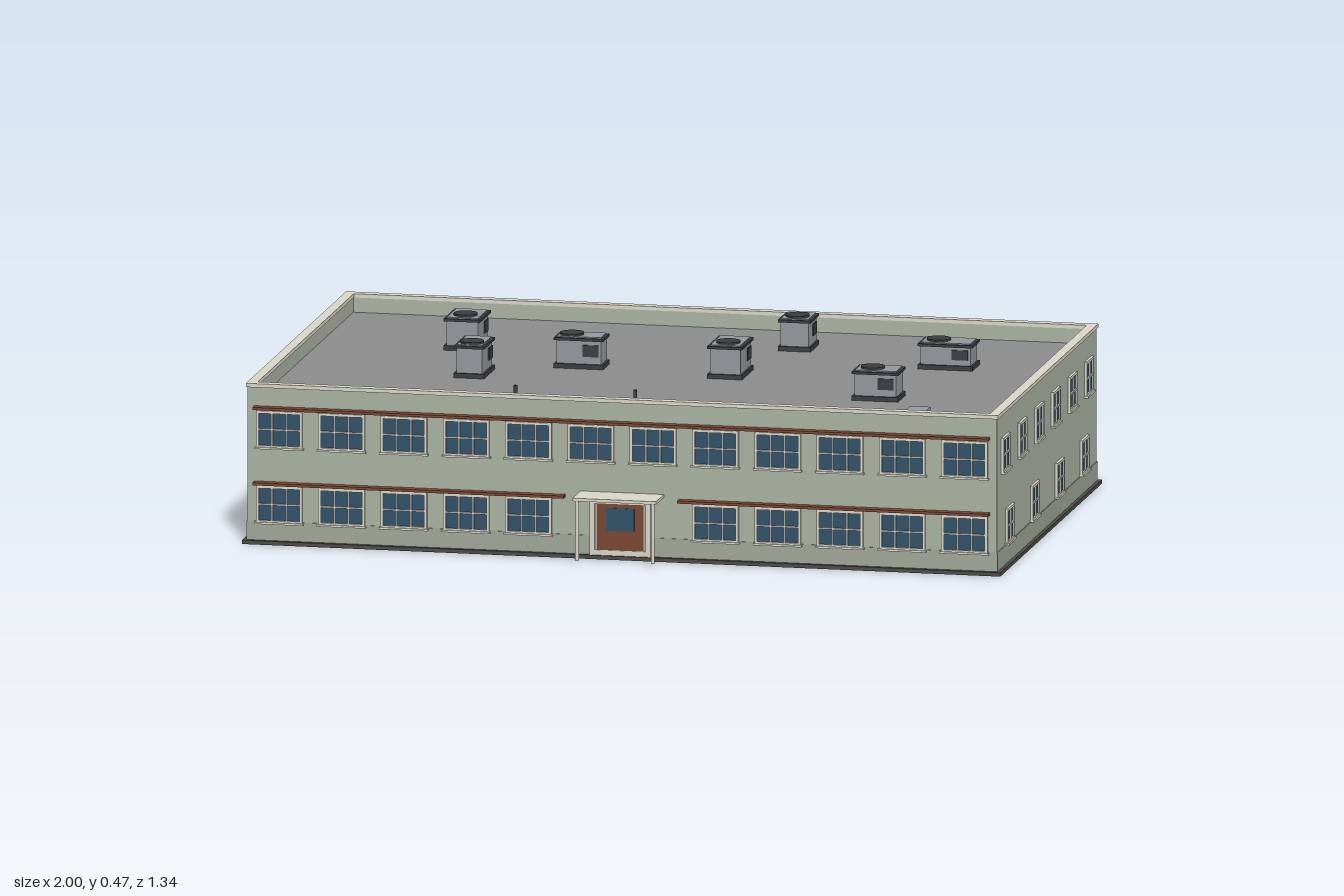
import * as THREE from 'three';

const mat = (color) => new THREE.MeshStandardMaterial({ color });
const M = {
  wall: mat(0xa9b2a2), plinth: mat(0x9fa697), cream: mat(0xd8d5c8), roof: mat(0x8a8b8a),
  base: mat(0x4d4a46), glass: mat(0x2f5068), brown: mat(0x7a4630), metal: mat(0x93989c),
  dark: mat(0x3a3d40), shutter: mat(0x9ba09d),
};

// Building footprint
const HX = 0.988, ZF = 0.574, ZB = -0.638, ZC = (ZF + ZB) / 2, HZ = (ZF - ZB) / 2;
const ROOF = 0.372;

function add(parent, name, geo, material, x = 0, y = 0, z = 0) {
  const m = new THREE.Mesh(geo, material);
  m.name = name;
  m.position.set(x, y, z);
  parent.add(m);
  return m;
}
const box = (parent, name, material, w, h, d, x, y, z) =>
  add(parent, name, new THREE.BoxGeometry(w, h, d), material, x, y, z);

function rect(PathType, x, y, w, h) {
  const p = new PathType();
  p.moveTo(x, y);
  p.lineTo(x + w, y);
  p.lineTo(x + w, y + h);
  p.lineTo(x, y + h);
  p.closePath();
  return p;
}

// Rectangular ring lying flat, standing from y = 0 to y = height
function ringGeometry(hx, hz, t, height) {
  const s = rect(THREE.Shape, -hx, -hz, 2 * hx, 2 * hz);
  s.holes.push(rect(THREE.Path, -hx + t, -hz + t, 2 * (hx - t), 2 * (hz - t)));
  return new THREE.ExtrudeGeometry(s, { depth: height, bevelEnabled: false }).rotateX(-Math.PI / 2);
}

// Window frame with a grid of openings, centred on the origin, facing +z
function frameGeometry(w, h, cols, rows, border, bar) {
  const s = rect(THREE.Shape, -w / 2, -h / 2, w, h);
  const pw = (w - 2 * border - (cols - 1) * bar) / cols;
  const ph = (h - 2 * border - (rows - 1) * bar) / rows;
  for (let i = 0; i < cols; i++) {
    for (let j = 0; j < rows; j++) {
      s.holes.push(rect(THREE.Path, -w / 2 + border + i * (pw + bar), -h / 2 + border + j * (ph + bar), pw, ph));
    }
  }
  return new THREE.ExtrudeGeometry(s, { depth: 0.007, bevelEnabled: false });
}

function windowMaker(w, h, cols, rows) {
  const frame = frameGeometry(w, h, cols, rows, 0.007, 0.004);
  const glass = new THREE.BoxGeometry(w - 0.004, h - 0.004, 0.004);
  const sill = new THREE.BoxGeometry(w + 0.006, 0.005, 0.012);
  return (parent, name, x, y, z, turn) => {
    const g = new THREE.Group();
    g.name = name;
    add(g, 'windowFrame', frame, M.cream);
    add(g, 'windowGlass', glass, M.glass, 0, 0, 0.001);
    add(g, 'windowSill', sill, M.cream, 0, -h / 2, 0.005);
    g.position.set(x, y, z);
    g.rotation.y = turn;
    parent.add(g);
  };
}

// Rooftop air handler: fan at the -x end, grille on the +z side
function airUnit(parent, x, z, len, wid, top, turned) {
  const g = new THREE.Group();
  g.name = 'rooftopAirUnit';
  const h = top - ROOF;
  box(g, 'unitSkid', M.dark, len, 0.012, wid, 0, 0.006, 0);
  box(g, 'unitBody', M.metal, len - 0.012, h - 0.012, wid - 0.012, 0, h / 2, 0);
  add(g, 'unitTopRim', ringGeometry(len / 2, wid / 2, 0.008, 0.007), M.dark, 0, h - 0.012, 0);
  box(g, 'unitLid', M.metal, len - 0.014, 0.008, wid - 0.014, 0, h - 0.006, 0);
  const fx = -len / 2 + wid / 2;
  add(g, 'unitFan', new THREE.CylinderGeometry(0.031, 0.031, 0.006, 24), M.dark, fx, h, 0);
  box(g, 'unitGrille', M.dark, 0.042, h * 0.36, 0.004, len / 2 - 0.034, h * 0.55, wid / 2 - 0.005);
  g.position.set(x, ROOF, z);
  if (turned) g.rotation.y = Math.PI / 2;
  parent.add(g);
}

export function createModel() {
  const model = new THREE.Group();
  model.name = 'officeBuilding';

  // Shell: slab, walls with parapet, coping and roof
  box(model, 'foundation', M.base, 2, 0.01, 1.238, 0, 0.005, -0.031);
  add(model, 'walls', ringGeometry(HX, HZ, 0.02, 0.402), M.wall, 0, 0.01, ZC);
  add(model, 'plinth', ringGeometry(HX + 0.002, HZ + 0.002, 0.02, 0.05), M.plinth, 0, 0.01, ZC);
  add(model, 'parapetCoping', ringGeometry(HX + 0.004, HZ + 0.004, 0.026, 0.01), M.cream, 0, 0.411, ZC);
  box(model, 'roof', M.roof, 2 * HX - 0.03, 0.012, 2 * HZ - 0.03, 0, ROOF - 0.006, ZC);

  // Front windows: twelve bays, the middle two left open below for the entrance
  const wide = windowMaker(0.122, 0.098, 3, 2);
  for (let i = 0; i < 12; i++) {
    const x = (i - 5.5) * 0.1643;
    wide(model, 'frontUpperWindow', x, 0.302, ZF, 0);
    if (i !== 5 && i !== 6) wide(model, 'frontLowerWindow', x, 0.105, ZF, 0);
  }

  // Sunshades over the front windows
  box(model, 'upperSunshade', M.brown, 1.94, 0.007, 0.024, 0, 0.359, ZF + 0.012);
  for (const s of [-1, 1]) {
    box(model, 'lowerSunshade', M.brown, 0.82, 0.007, 0.024, s * 0.56, 0.161, ZF + 0.012);
  }

  // Side windows: six above, four below, mirrored
  const small = windowMaker(0.087, 0.092, 2, 2);
  for (const s of [-1, 1]) {
    const turn = s * Math.PI / 2;
    for (let i = 0; i < 6; i++) small(model, 'sideUpperWindow', s * HX, 0.304, 0.477 - i * 0.2022, turn);
    for (let i = 0; i < 4; i++) small(model, 'sideLowerWindow', s * HX, 0.108, 0.426 - i * 0.302, turn);
  }

  // Back windows
  for (let i = -4; i <= 4; i++) {
    small(model, 'backUpperWindow', i * 0.222, 0.304, ZB, Math.PI);
    if (Math.abs(i) < 4) small(model, 'backLowerWindow', i * 0.222, 0.108, ZB, Math.PI);
  }

  // Entrance: door, surround and canopy on posts
  const entrance = new THREE.Group();
  entrance.name = 'entrance';
  add(entrance, 'doorSurround', frameGeometry(0.162, 0.15, 1, 1, 0.014, 0), M.cream, -0.004, 0.085, ZF + 0.002);
  box(entrance, 'doorPanel', M.wall, 0.15, 0.14, 0.006, -0.004, 0.08, ZF + 0.001);
  box(entrance, 'frontDoor', M.brown, 0.122, 0.137, 0.01, -0.004, 0.079, ZF + 0.002);
  box(entrance, 'doorGlass', M.glass, 0.075, 0.06, 0.004, -0.004, 0.105, ZF + 0.007);
  box(entrance, 'canopy', M.cream, 0.22, 0.008, 0.097, 0, 0.171, 0.6215);
  for (const s of [-1, 1]) {
    add(entrance, 'canopyPost', new THREE.CylinderGeometry(0.005, 0.005, 0.157, 12), M.cream, s * 0.1, 0.0885, 0.663);
  }
  model.add(entrance);

  // Back service door, roller shutter and utility box
  box(model, 'backDoor', M.brown, 0.064, 0.128, 0.01, -0.918, 0.074, ZB - 0.003);
  box(model, 'backDoorLintel', M.cream, 0.074, 0.006, 0.014, -0.918, 0.141, ZB - 0.004);
  const shutter = new THREE.Group();
  shutter.name = 'rollerShutter';
  box(shutter, 'shutterPanel', M.shutter, 0.17, 0.145, 0.008, -0.79, 0.0825, ZB - 0.006);
  for (let i = 0; i < 10; i++) {
    box(shutter, 'shutterSlat', M.metal, 0.17, 0.004, 0.004, -0.79, 0.018 + i * 0.0145, ZB - 0.01);
  }
  model.add(shutter);
  box(model, 'utilityBox', M.metal, 0.052, 0.044, 0.032, 0.293, 0.038, -0.654);

  // Downpipes at the back corners
  for (const s of [-1, 1]) {
    add(model, 'downpipe', new THREE.CylinderGeometry(0.007, 0.007, 0.4, 12), M.metal, s * 0.972, 0.21, ZB - 0.004);
  }

  // Roof equipment: x, z, length, width, top, turned
  const units = [
    [-0.588, -0.252, 0.133, 0.096, 0.46, true],
    [-0.495, 0.091, 0.134, 0.08, 0.461, true],
    [-0.245, -0.062, 0.13, 0.08, 0.457, false],
    [0.152, -0.04, 0.14, 0.092, 0.462, true],
    [0.251, -0.412, 0.105, 0.086, 0.459, true],
    [0.682, -0.252, 0.144, 0.092, 0.444, false],
    [0.591, 0.181, 0.122, 0.092, 0.453, false],
  ];
  units.forEach((u) => airUnit(model, ...u));
  box(model, 'roofHatch', M.metal, 0.053, 0.022, 0.053, 0.743, ROOF + 0.011, 0.399);
  for (const [x, z] of [[-0.315, 0.42], [0, 0.415]]) {
    add(model, 'ventPipe', new THREE.CylinderGeometry(0.005, 0.005, 0.042, 10), M.dark, x, ROOF + 0.021, z);
  }
  return model;
}
